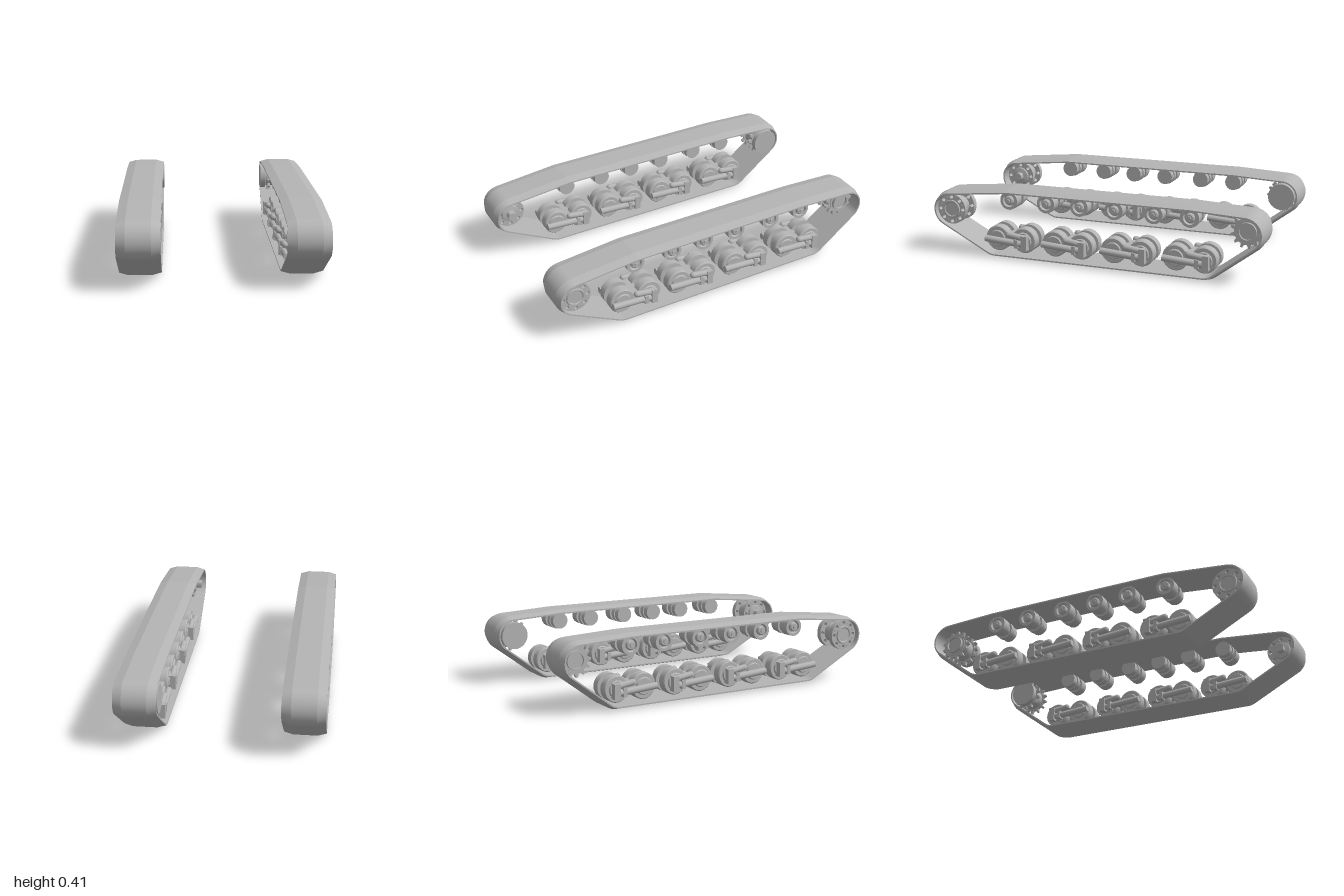
import * as THREE from 'three';
import { toCreasedNormals } from 'three/addons/utils/BufferGeometryUtils.js';

const steel = new THREE.MeshStandardMaterial({ color: 0xb4b4b4 });
steel.name = 'plain grey steel';

function add(parent, name, geometry, x = 0, y = 0, z = 0) {
  const mesh = new THREE.Mesh(geometry, steel);
  mesh.name = name;
  mesh.position.set(x, y, z);
  parent.add(mesh);
  return mesh;
}

// Turned part on the x axis; points are [radius, distance from the centre plane]
function turned(points, side, segments = 32) {
  const lathe = new THREE.LatheGeometry(points.map(([r, x]) => new THREE.Vector2(r, x)), segments);
  return toCreasedNormals(lathe.rotateZ(-side * Math.PI / 2), 0.6);
}

// Plate cut from a side-on shape, starting at x and getting thicker outwards
function plate(shape, x, depth, side) {
  const geo = new THREE.ExtrudeGeometry(shape, { depth, bevelEnabled: false, curveSegments: 20 });
  return geo.translate(0, 0, x).rotateY(side * Math.PI / 2);
}

// Circles the belt wraps around: [z, y, radius]
const WRAP = [
  [-0.66, 0.11, 0.11], [0.60, 0.11, 0.11], [0.887, 0.263, 0.113],
  [0.517, 0.343, 0.07], [-0.58, 0.343, 0.07], [-0.888, 0.287, 0.112],
];

// Belt path: an arc on each circle, joined by common tangents
function beltPath() {
  const leave = WRAP.map(([z, y, r], i) => {
    const [z2, y2, r2] = WRAP[(i + 1) % WRAP.length];
    return Math.atan2(y2 - y, z2 - z) - Math.acos((r - r2) / Math.hypot(z2 - z, y2 - y));
  });
  const path = [];
  WRAP.forEach(([z, y, r], i) => {
    const start = leave[(i + WRAP.length - 1) % WRAP.length];
    let sweep = leave[i] - start;
    while (sweep < 0) sweep += Math.PI * 2;
    while (sweep > Math.PI * 2) sweep -= Math.PI * 2;
    const steps = Math.max(3, Math.ceil(sweep / 0.12));
    for (let k = 0; k <= steps; k++) {
      const a = start + sweep * k / steps;
      path.push({ z, y, r, nz: Math.cos(a), ny: Math.sin(a) });
    }
  });
  return path;
}

// Belt with chamfered outer edges: [x, height against the path]
function beltGeometry(side) {
  let profile = [[0.33, -0.014], [0.38, 0], [0.515, 0], [0.565, -0.014], [0.565, -0.022], [0.33, -0.022]];
  if (side < 0) profile = profile.map(([x, d]) => [-x, d]).reverse();
  const path = beltPath(), n = path.length;
  const pos = [], nor = [], idx = [];
  profile.forEach(([x0, d0], e) => {
    const [x1, d1] = profile[(e + 1) % profile.length];
    const len = Math.hypot(x1 - x0, d1 - d0), nx = -(d1 - d0) / len, nn = (x1 - x0) / len;
    const base = pos.length / 3;
    path.forEach((p, i) => {
      for (const [x, d] of [[x0, d0], [x1, d1]]) {
        pos.push(x, p.y + p.ny * (p.r + d), p.z + p.nz * (p.r + d));
        nor.push(nx, nn * p.ny, nn * p.nz);
      }
      const a = base + i * 2, c = base + ((i + 1) % n) * 2;
      idx.push(a, a + 1, c, a + 1, c + 1, c);
    });
  });
  const geo = new THREE.BufferGeometry();
  geo.setAttribute('position', new THREE.Float32BufferAttribute(pos, 3));
  geo.setAttribute('normal', new THREE.Float32BufferAttribute(nor, 3));
  geo.setIndex(idx);
  return geo;
}

function ringShape(radius, holes, holeOrbit, holeRadius) {
  const shape = new THREE.Shape().absarc(0, 0, radius, 0, Math.PI * 2);
  for (let i = 0; i < holes; i++) {
    const a = i / holes * Math.PI * 2;
    shape.holes.push(new THREE.Path().absarc(Math.cos(a) * holeOrbit, Math.sin(a) * holeOrbit, holeRadius, 0, Math.PI * 2, true));
  }
  return shape;
}

function toothedShape(teeth, root, tip) {
  const pts = [];
  for (let i = 0; i < teeth; i++) {
    for (const [f, r] of [[-0.3, root], [-0.12, tip], [0.12, tip], [0.3, root]]) {
      const a = (i + f) / teeth * Math.PI * 2;
      pts.push(new THREE.Vector2(Math.cos(a) * r, Math.sin(a) * r));
    }
  }
  return new THREE.Shape(pts);
}

// Front idler: two pierced discs on a drum
function idler(side) {
  const g = new THREE.Group();
  g.name = 'frontIdler';
  for (const x of [0.395, 0.505]) add(g, 'idlerDisc', plate(ringShape(0.09, 8, 0.073, 0.011), x, 0.03, side));
  add(g, 'idlerHub', turned([[0, 0.345], [0.025, 0.345], [0.025, 0.38], [0.052, 0.385], [0.057, 0.4],
    [0.057, 0.53], [0.052, 0.542], [0.044, 0.542], [0.04, 0.537], [0, 0.537]], side));
  for (let i = 0; i < 8; i++) {
    const a = (i + 0.5) / 8 * Math.PI * 2;
    add(g, 'idlerBolt', turned([[0, 0.53], [0.005, 0.53], [0.005, 0.539], [0, 0.539]], side, 8),
      0, Math.sin(a) * 0.072, Math.cos(a) * 0.072);
  }
  g.position.set(0, 0.263, 0.887);
  return g;
}

// Rear drive sprocket: toothed plates on a drum with a raised hub ring
function sprocket(side) {
  const g = new THREE.Group();
  g.name = 'driveSprocket';
  for (const x of [0.375, 0.465]) add(g, 'sprocketTeeth', plate(toothedShape(13, 0.076, 0.096), x, 0.018, side));
  add(g, 'sprocketDrum', turned([[0, 0.327], [0.08, 0.327], [0.08, 0.36], [0.066, 0.365], [0.066, 0.488],
    [0.054, 0.488], [0.054, 0.505], [0.042, 0.505], [0.042, 0.492], [0, 0.492]], side));
  g.position.set(0, 0.287, -0.888);
  return g;
}

function returnRoller(side, z) {
  const g = new THREE.Group();
  g.name = 'returnRoller';
  add(g, 'rollerBody', turned([[0, 0.37], [0.048, 0.37], [0.048, 0.41], [0.054, 0.41], [0.054, 0.44], [0.042, 0.44],
    [0.042, 0.465], [0.054, 0.465], [0.054, 0.525], [0.038, 0.525], [0.034, 0.508], [0, 0.508]], side));
  add(g, 'rollerHub', turned([[0, 0.5], [0.026, 0.5], [0.026, 0.525], [0.02, 0.53], [0, 0.53]], side, 20));
  add(g, 'rollerNut', turned([[0, 0.525], [0.012, 0.525], [0.012, 0.54], [0, 0.54]], side, 6));
  g.position.set(0, 0.343, z);
  return g;
}

// Bogie: a pair of double wheels carried by arms on both faces
function bogie(side, z) {
  const g = new THREE.Group();
  g.name = 'bogie';
  for (const dz of [0.083, -0.083]) {
    add(g, 'roadWheel', turned([[0, 0.37], [0.045, 0.37], [0.05, 0.378], [0.07, 0.378], [0.075, 0.384], [0.075, 0.43],
      [0.045, 0.432], [0.045, 0.463], [0.075, 0.465], [0.075, 0.511], [0.07, 0.517], [0.05, 0.517],
      [0.045, 0.525], [0, 0.525]], side), 0, 0, dz);
  }
  add(g, 'bogieCentre', new THREE.BoxGeometry(0.14, 0.045, 0.05), side * 0.4475, 0.01, 0);
  for (const x of [0.36, 0.535]) {
    const bar = add(g, 'bogieBar', new THREE.CylinderGeometry(0.019, 0.019, 0.25, 16), side * x, -0.01, 0.027);
    bar.rotation.x = Math.PI / 2 - 0.07;
    add(g, 'barCollar', new THREE.BoxGeometry(0.042, 0.05, 0.022), side * x, -0.014, -0.05);
    add(g, 'barBracket', new THREE.BoxGeometry(0.046, 0.085, 0.036), side * x, -0.005, -0.1);
    const lever = add(g, 'bogieLever', new THREE.CapsuleGeometry(0.018, 0.085, 6, 12), side * x, 0.028, -0.04);
    lever.rotation.x = Math.PI / 2 - 0.15;
  }
  g.position.set(0, 0.108, z);
  return g;
}

export function createModel() {
  const model = new THREE.Group();
  model.name = 'trackedRunningGear';
  for (const side of [1, -1]) {
    const unit = new THREE.Group();
    unit.name = side > 0 ? 'leftTrackUnit' : 'rightTrackUnit';
    add(unit, 'trackBelt', beltGeometry(side));
    unit.add(idler(side), sprocket(side));
    for (const z of [0.517, 0.284, 0.078, -0.131, -0.365, -0.574]) unit.add(returnRoller(side, z));
    for (const z of [0.515, 0.155, -0.207, -0.574]) unit.add(bogie(side, z));
    model.add(unit);
  }
  return model;
}
